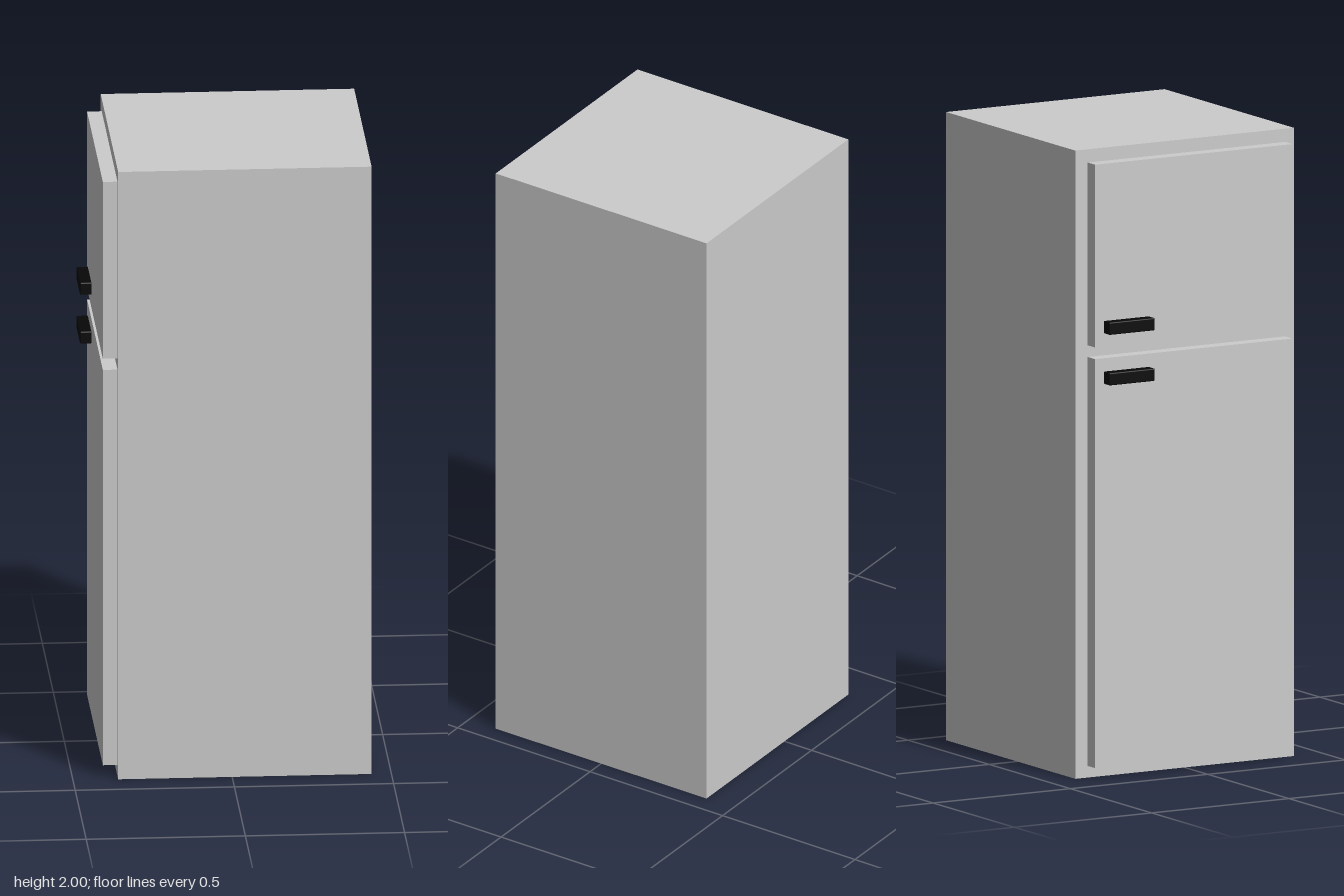
import * as THREE from 'three';
import { RoundedBoxGeometry } from 'three/addons/geometries/RoundedBoxGeometry.js';

const grey = new THREE.MeshStandardMaterial({ color: 0xcccccc });
const black = new THREE.MeshStandardMaterial({ color: 0x080808 });

// Box given by its [min, max] range on each axis, with optional rounded edges
function block(name, [x0, x1], [y0, y1], [z0, z1], material, radius = 0) {
  const size = [x1 - x0, y1 - y0, z1 - z0];
  const geometry = radius
    ? new RoundedBoxGeometry(...size, 2, radius)
    : new THREE.BoxGeometry(...size);
  const mesh = new THREE.Mesh(geometry, material);
  mesh.name = name;
  mesh.position.set((x0 + x1) / 2, (y0 + y1) / 2, (z0 + z1) / 2);
  return mesh;
}

export function createModel() {
  const fridge = new THREE.Group();
  fridge.name = 'refrigerator';

  // Cabinet
  fridge.add(block('cabinet', [-0.358, 0.438], [0, 2], [-0.398, 0.398], grey));

  // Two doors on the -x side, each with a handle near the gap between them
  const doors = [
    { name: 'freezer', y: [1.376, 1.958], handleY: [1.418, 1.458] },
    { name: 'fridge', y: [0.037, 1.339], handleY: [1.257, 1.297] },
  ];
  for (const { name, y, handleY } of doors) {
    fridge.add(block(name + 'Door', [-0.404, -0.358], y, [-0.353, 0.366], grey));
    fridge.add(block(name + 'Handle', [-0.44, -0.402], handleY, [-0.322, -0.156], black, 0.004));
  }
  return fridge;
}
